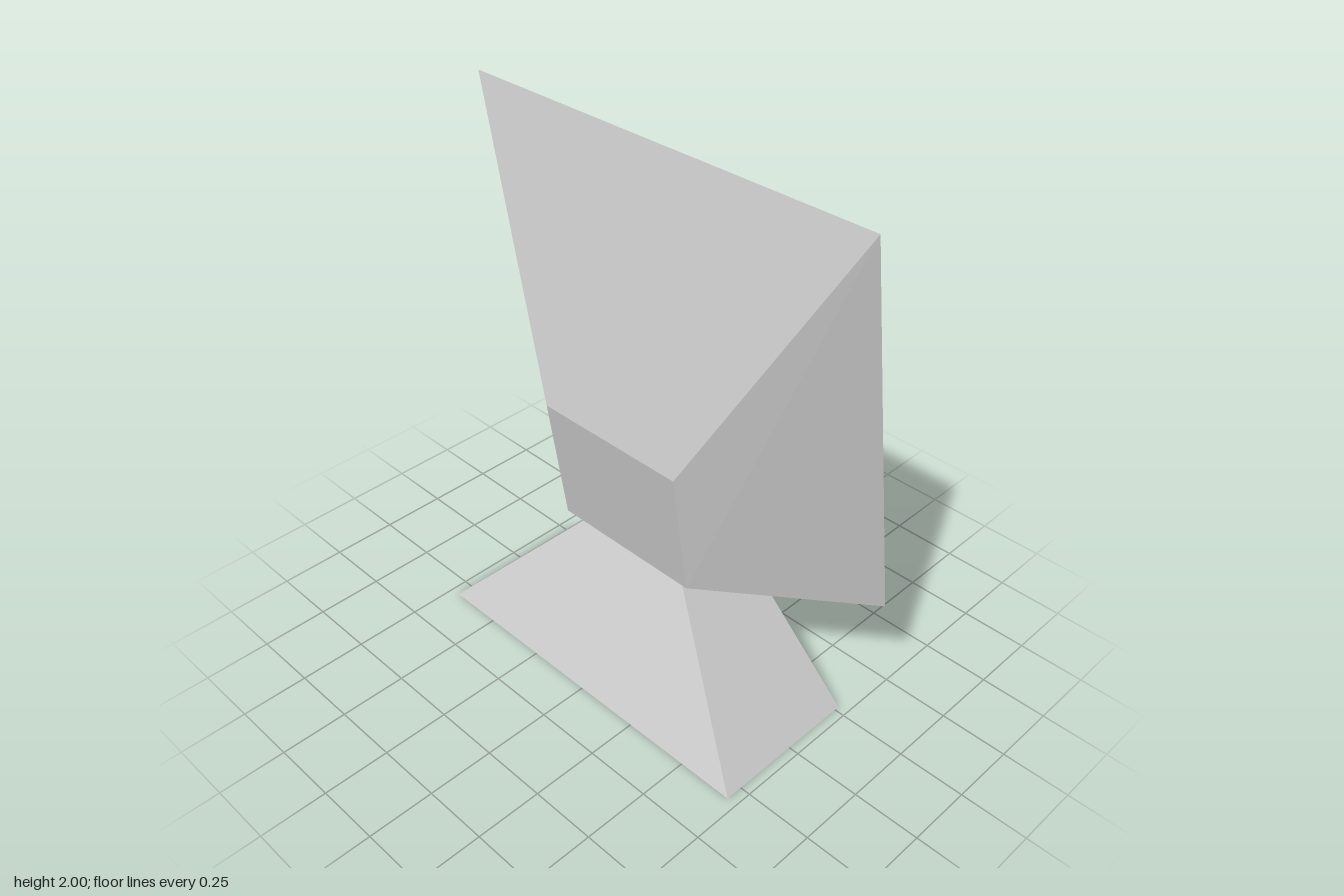
import * as THREE from 'three';
import { ConvexGeometry } from 'three/addons/geometries/ConvexGeometry.js';

// Faceted solid, mirrored front to back, from the corners of its +z half
function mirroredSolid(name, corners, material) {
  const points = corners.flatMap(([x, y, z]) => [
    new THREE.Vector3(x, y, z),
    new THREE.Vector3(x, y, -z),
  ]);
  const mesh = new THREE.Mesh(new ConvexGeometry(points), material);
  mesh.name = name;
  return mesh;
}

export function createModel() {
  const model = new THREE.Group();
  model.name = 'monitor';
  const grey = new THREE.MeshStandardMaterial({ color: 0xcccccc });
  grey.name = 'light grey';

  // Tilted screen tapering to a narrow back
  model.add(mirroredSolid('screen', [
    [0.05, 2, 0.823],       // top edge
    [0.31, 0.528, 0.823],   // lower screen edge
    [-0.168, 1.022, 0.298], // back ridge
    [-0.093, 0.528, 0.296], // lower back edge
  ], grey));

  // Flared foot
  model.add(mirroredSolid('stand', [
    [-0.315, 0, 0.711],
    [0.27, 0, 0.711],
    [-0.043, 0.53, 0.212],
    [0.238, 0.53, 0.212],
  ], grey));

  return model;
}
